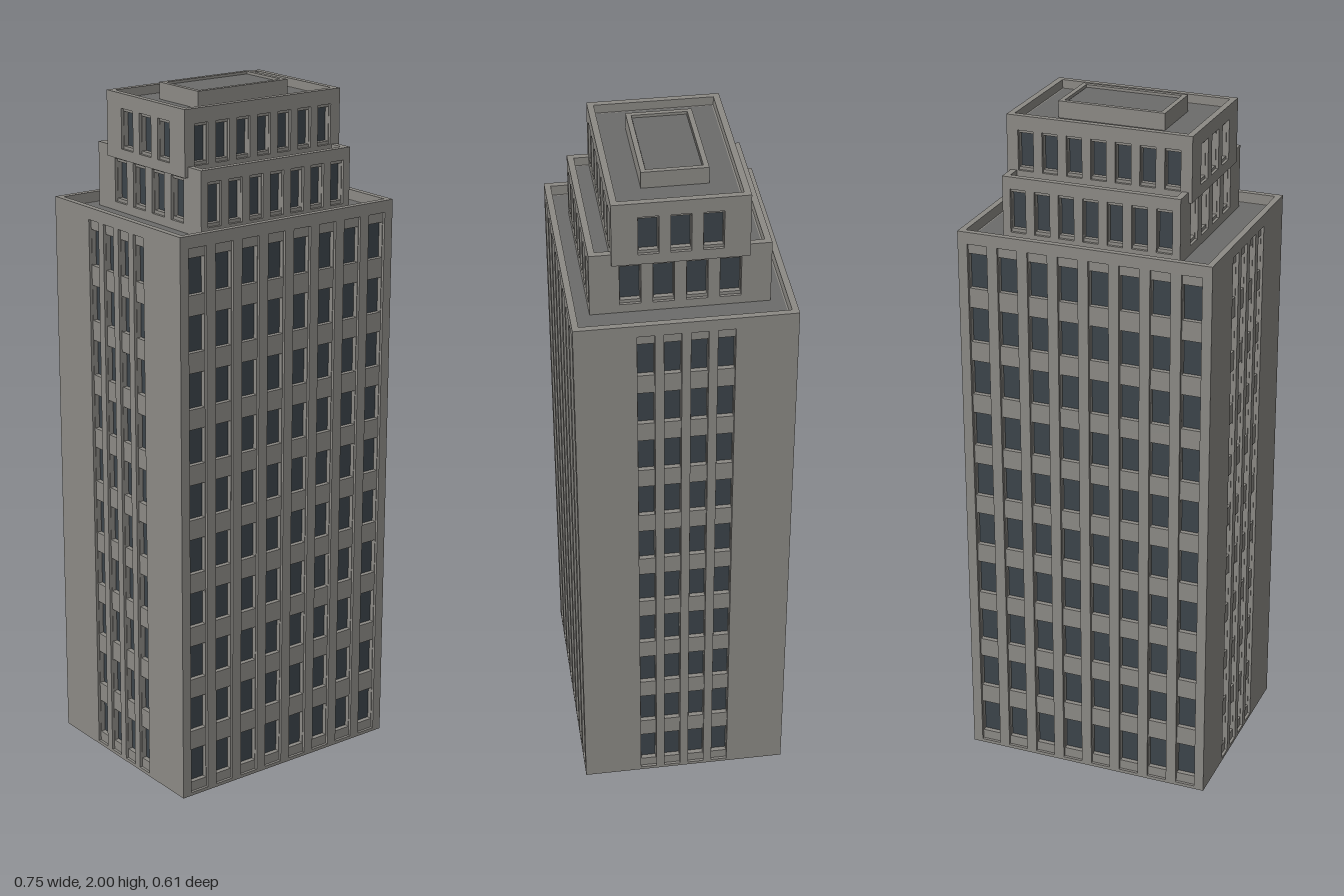
import * as THREE from 'three';

const wallMat = new THREE.MeshStandardMaterial({ color: 0x8c8a85 });
const glassMat = new THREE.MeshStandardMaterial({ color: 0x3c444a });
const roofMat = new THREE.MeshStandardMaterial({ color: 0x6c6c6b });

const SPANDREL = 0.014; // depth of the layer with window holes
const PIER = 0.008; // depth of the pier layer in front of it
const SKIN = SPANDREL + PIER;

function box(name, w, h, d, y, mat) {
  const mesh = new THREE.Mesh(new THREE.BoxGeometry(w, h, d), mat);
  mesh.position.y = y + h / 2;
  mesh.name = name;
  return mesh;
}

// Upright slab with a grid of rectangular openings, back face on z = 0
function panel(name, w, h, depth, g) {
  const shape = new THREE.Shape();
  shape.moveTo(-w / 2, 0).lineTo(w / 2, 0).lineTo(w / 2, h).lineTo(-w / 2, h).closePath();
  const px = g.width / g.cols;
  const py = (g.top - g.bottom) / g.rows;
  for (let c = 0; c < g.cols; c++) {
    for (let r = 0; r < g.rows; r++) {
      const cx = -g.width / 2 + (c + 0.5) * px;
      const cy = g.bottom + (r + 0.5) * py;
      const hx = (px * g.fillX) / 2;
      const hy = (py * g.fillY) / 2;
      const hole = new THREE.Path();
      hole.moveTo(cx - hx, cy - hy).lineTo(cx - hx, cy + hy);
      hole.lineTo(cx + hx, cy + hy).lineTo(cx + hx, cy - hy).closePath();
      shape.holes.push(hole);
    }
  }
  const geo = new THREE.ExtrudeGeometry(shape, { depth, bevelEnabled: false });
  const mesh = new THREE.Mesh(geo, wallMat);
  mesh.name = name;
  return mesh;
}

// One face: spandrels with windows, and piers standing proud of them
function facade(name, w, h, g) {
  const group = new THREE.Group();
  group.name = name;
  const spandrels = panel('spandrels', w, h, SPANDREL, g);
  const piers = panel('piers', w, h, PIER, { ...g, rows: 1, fillX: g.fillX + 0.04, fillY: 1 });
  piers.position.z = SPANDREL;
  group.add(spandrels, piers);
  return group;
}

// Low wall around a roof edge
function parapet(w, d, y0, y1, t) {
  const outer = new THREE.Shape();
  outer.moveTo(-w / 2, -d / 2).lineTo(w / 2, -d / 2).lineTo(w / 2, d / 2).lineTo(-w / 2, d / 2).closePath();
  const [a, b] = [w / 2 - t, d / 2 - t];
  const inner = new THREE.Path();
  inner.moveTo(-a, -b).lineTo(-a, b).lineTo(a, b).lineTo(a, -b).closePath();
  outer.holes.push(inner);
  const geo = new THREE.ExtrudeGeometry(outer, { depth: y1 - y0, bevelEnabled: false });
  geo.rotateX(-Math.PI / 2);
  const mesh = new THREE.Mesh(geo, wallMat);
  mesh.position.y = y0;
  mesh.name = 'parapet';
  return mesh;
}

// Storey block: glazed core, four faces, sunken roof and parapet
function block(name, { w, d, y0, y1, sink, front, side }) {
  const group = new THREE.Group();
  group.name = name;
  const roofY = y1 - sink;
  const h = roofY - y0;
  const cw = w - 2 * SKIN;
  const cd = d - 2 * SKIN;
  group.add(box('glazing', cw, h - 0.008, cd, y0, glassMat));
  group.add(box('roof', cw, 0.008, cd, roofY - 0.008, roofMat));
  group.add(parapet(w, d, roofY, y1, 0.018));
  ['front', 'left', 'back', 'right'].forEach((label, i) => {
    const onSide = i % 2 === 1;
    const face = facade(label + 'Facade', onSide ? cd : w, h, onSide ? side : front);
    const turn = (i * Math.PI) / 2;
    const reach = (onSide ? cw : cd) / 2;
    face.rotation.y = turn;
    face.position.set(Math.sin(turn) * reach, y0, Math.cos(turn) * reach);
    group.add(face);
  });
  return group;
}

export function createModel() {
  const model = new THREE.Group();
  model.name = 'officeTower';

  // Main shaft: ten floors, wide solid corners on the narrow sides
  const floors = { rows: 10, bottom: 0.01, top: 1.63, fillX: 0.62, fillY: 0.64 };
  model.add(block('mainShaft', {
    w: 0.746, d: 0.606, y0: 0, y1: 1.665, sink: 0.03,
    front: { ...floors, cols: 8, width: 0.72 },
    side: { ...floors, cols: 4, width: 0.29 },
  }));

  // Lower setback
  const low = { rows: 1, bottom: 0.03, top: 0.155, fillX: 0.6, fillY: 0.85 };
  model.add(block('lowerSetback', {
    w: 0.52, d: 0.49, y0: 1.63, y1: 1.82, sink: 0.025,
    front: { ...low, cols: 7, width: 0.5 },
    side: { ...low, cols: 4, width: 0.36 },
  }));

  // Upper setback, a little wider and much shallower
  const high = { rows: 1, bottom: 0.03, top: 0.145, fillX: 0.6, fillY: 0.85 };
  model.add(block('upperSetback', {
    w: 0.54, d: 0.37, y0: 1.79, y1: 1.977, sink: 0.025,
    front: { ...high, cols: 7, width: 0.5 },
    side: { ...high, cols: 3, width: 0.26 },
  }));

  // Plant room on the top roof
  const plantRoom = new THREE.Group();
  plantRoom.name = 'plantRoom';
  plantRoom.add(box('plantRoomWalls', 0.312, 0.04, 0.182, 1.95, wallMat));
  plantRoom.add(box('plantRoomRoof', 0.28, 0.003, 0.15, 1.99, roofMat));
  plantRoom.add(parapet(0.312, 0.182, 1.99, 2, 0.014));
  model.add(plantRoom);

  return model;
}
